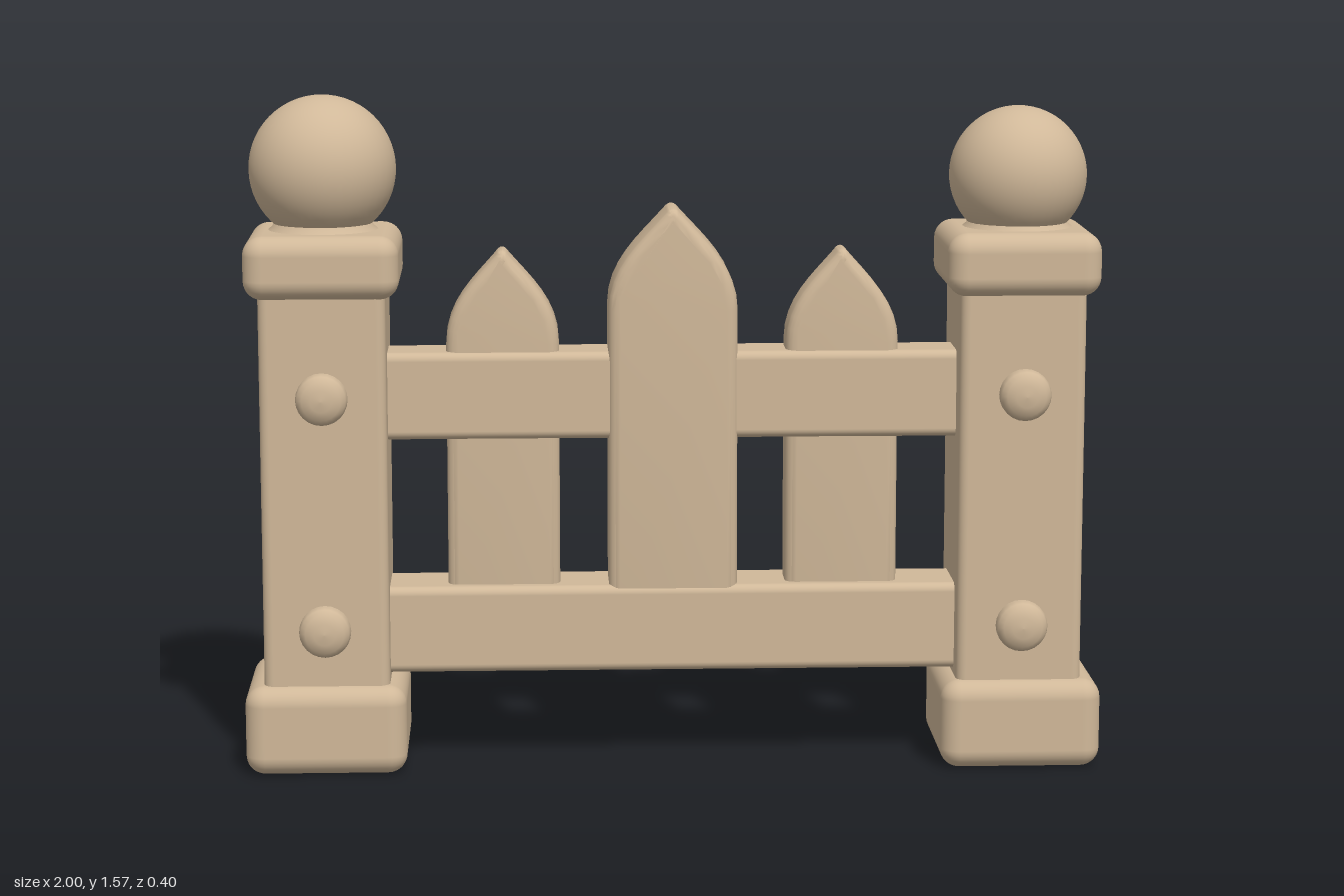
import * as THREE from 'three';
import { toCreasedNormals } from 'three/addons/utils/BufferGeometryUtils.js';
import { RoundedBoxGeometry } from 'three/addons/geometries/RoundedBoxGeometry.js';

export function createModel() {
  const group = new THREE.Group();
  const wood = new THREE.MeshStandardMaterial({ color: 0xd0b899 });
  wood.name = 'pale wood';

  function add(name, geometry, x, y, z = 0, parent = group) {
    const mesh = new THREE.Mesh(geometry, wood);
    mesh.name = name;
    mesh.position.set(x, y, z);
    parent.add(mesh);
    return mesh;
  }

  // Rounded block given by its width, bottom, top and depth
  function block(name, x, width, bottom, top, depth, radius, parent = group) {
    const geometry = new RoundedBoxGeometry(width, top - bottom, depth, 4, radius);
    return add(name, geometry, x, (bottom + top) / 2, 0, parent);
  }

  // Domed bolt head, turned around its axis
  const boltProfile = [[0, 0.05], [0.025, 0.048], [0.045, 0.041], [0.056, 0.03], [0.06, 0.018], [0.06, -0.02]]
    .map(([r, h]) => new THREE.Vector2(r, h)).reverse();
  const boltGeometry = new THREE.LatheGeometry(boltProfile, 24);

  // Gate posts with base, cap, collar, ball and bolts on both faces
  function post(name, x, ballRadius, ballY) {
    const p = new THREE.Group();
    p.name = name;
    group.add(p);
    const side = Math.sign(x);
    block('base', side * 0.811, 0.375, 0.005, 0.215, 0.38, 0.045, p);
    block('shaft', x, 0.292, 0.15, 1.18, 0.31, 0.022, p);
    block('cap', x, 0.356, 1.118, 1.265, 0.372, 0.045, p);
    const collar = [[0.14, 1.255], [0.118, 1.272], [0.105, 1.3]].map(([r, y]) => new THREE.Vector2(r, y));
    add('collar', new THREE.LatheGeometry(collar, 32), x, 0, 0, p);
    add('ball', new THREE.SphereGeometry(ballRadius, 40, 28), x, ballY, 0, p);
    for (const y of [0.345, 0.89]) {
      for (const face of [1, -1]) {
        const bolt = add('bolt', boltGeometry, side * 0.81, y, face * 0.15, p);
        bolt.rotation.x = face * Math.PI / 2;
      }
    }
  }
  post('rightPost', -0.808, 0.17, 1.405);
  post('leftPost', 0.806, 0.16, 1.385);

  // Rails between the posts
  block('lowerRail', 0, 1.44, 0.228, 0.432, 0.188, 0.02);
  block('upperRail', 0, 1.44, 0.778, 0.982, 0.15, 0.02);

  // Pickets with curved shoulders rising to a point
  function picket(name, x, width, shoulder, tip, depth) {
    const w = width / 2, bottom = 0.3, bevel = 0.025, rise = tip - shoulder;
    const shape = new THREE.Shape();
    shape.moveTo(-w, bottom);
    shape.lineTo(w, bottom);
    shape.lineTo(w, shoulder);
    shape.bezierCurveTo(w, shoulder + rise * 0.42, w * 0.5, shoulder + rise * 0.68, w * 0.12, tip - 0.012);
    shape.quadraticCurveTo(0, tip + 0.012, -w * 0.12, tip - 0.012);
    shape.bezierCurveTo(-w * 0.5, shoulder + rise * 0.68, -w, shoulder + rise * 0.42, -w, shoulder);
    const geometry = new THREE.ExtrudeGeometry(shape, {
      depth: depth - 2 * bevel, bevelEnabled: true, bevelThickness: bevel,
      bevelSize: bevel, bevelOffset: -bevel, bevelSegments: 4, curveSegments: 8,
    });
    geometry.translate(0, 0, bevel - depth / 2);
    add(name, toCreasedNormals(geometry, 0.7), x, 0);
  }
  picket('middlePicket', 0, 0.3, 1.08, 1.315, 0.178);
  for (const side of [-1, 1]) {
    picket(side < 0 ? 'rightPicket' : 'leftPicket', side * 0.395, 0.262, 1.0, 1.217, 0.122);
  }

  return group;
}
